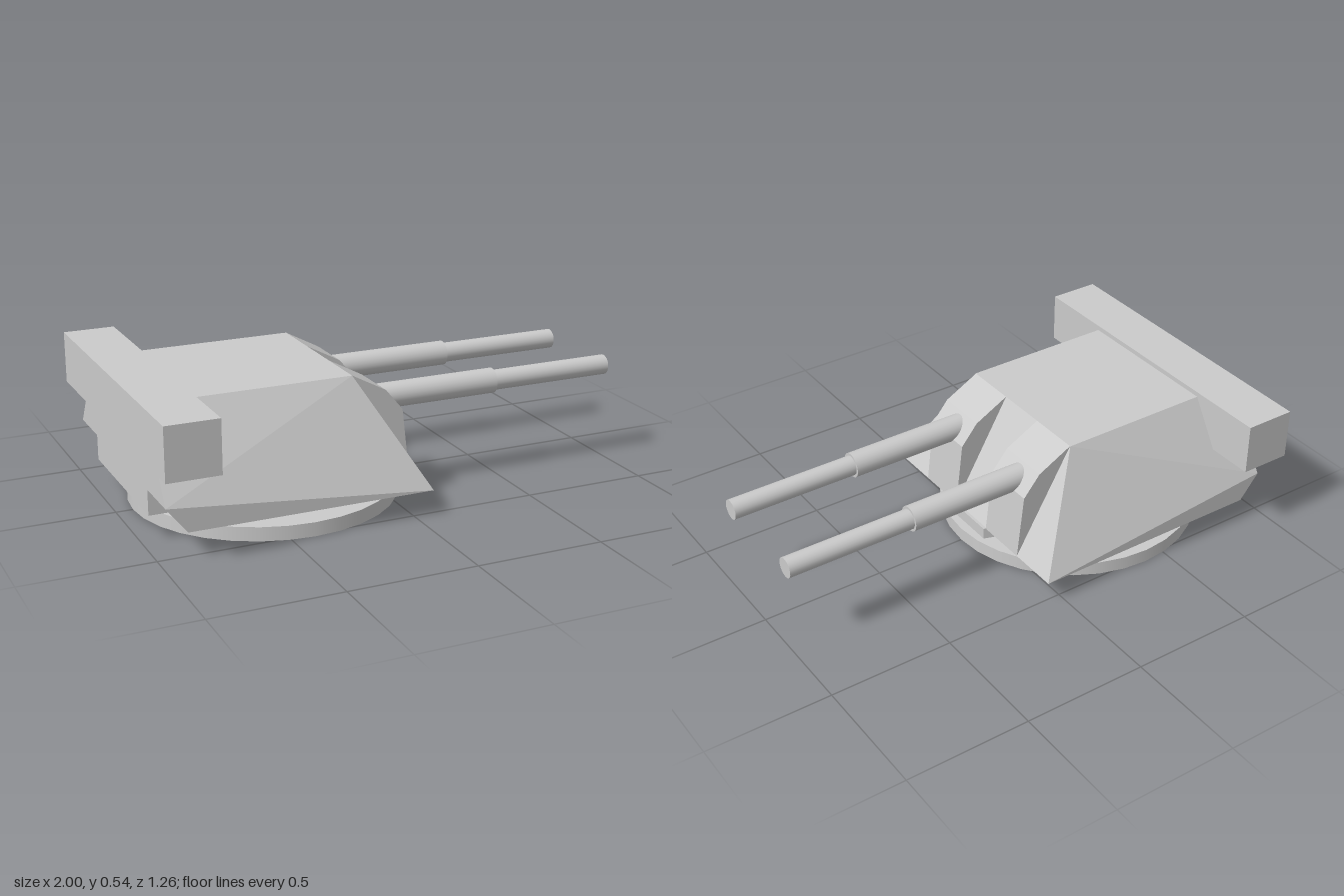
import * as THREE from 'three';
import { ConvexGeometry } from 'three/addons/geometries/ConvexGeometry.js';

export function createModel() {
  const model = new THREE.Group();
  const flat = new THREE.MeshStandardMaterial({ color: 0xcccccc, flatShading: true });
  const smooth = new THREE.MeshStandardMaterial({ color: 0xcccccc });

  const add = (name, geometry, material = flat) => {
    const mesh = new THREE.Mesh(geometry, material);
    mesh.name = name;
    model.add(mesh);
    return mesh;
  };
  const extrude = (points, depth) => new THREE.ExtrudeGeometry(
    new THREE.Shape(points.map(([x, y]) => new THREE.Vector2(x, y))),
    { depth, bevelEnabled: false });

  // Round turntable
  add('turntable', new THREE.CylinderGeometry(0.525, 0.525, 0.055, 32), smooth)
    .position.set(-0.408, 0.0275, 0);

  // Six-sided plinth between turntable and hull
  const plinth = extrude([
    [0.08, -0.105], [0.08, 0.105], [-0.39, 0.26],
    [-0.9, 0.105], [-0.9, -0.105], [-0.39, -0.26]], 0.05);
  plinth.rotateX(-Math.PI / 2);
  add('plinth', plinth).position.y = 0.053;

  // Central hull with sloping front
  add('hull', extrude([[-0.97, 0.1], [0.07, 0.1], [-0.17, 0.52], [-0.97, 0.52]], 0.64))
    .position.z = -0.32;

  // Long box across the rear
  add('rearBox', new THREE.BoxGeometry(0.205, 0.205, 1.26)).position.set(-0.8975, 0.4375, 0);

  for (const side of [1, -1]) {
    // Sloping side armour, chamfered at the lower rear
    const corners = [
      [-0.17, 0.52, 0.32], [-0.97, 0.52, 0.32],
      [0.07, 0.1, 0.525], [-0.89, 0.1, 0.525], [-0.97, 0.2, 0.525],
      [0.07, 0.1, 0.32], [-0.89, 0.1, 0.32], [-0.97, 0.2, 0.32]];
    add('sideArmour', new ConvexGeometry(
      corners.map(([x, y, z]) => new THREE.Vector3(x, y, z * side))));

    // Faceted gun housing bulging from the front slope
    add('gunHousing', extrude([[-0.17, 0.52], [0.07, 0.1], [0.04, 0.36], [-0.03, 0.445]], 0.213))
      .position.z = side > 0 ? 0.105 : -0.318;

    // Gun: thick sleeve and thinner barrel
    for (const [name, radius, start, end] of [
      ['gunSleeve', 0.05, -0.1, 0.483], ['gunBarrel', 0.04, 0.45, 1]]) {
      const tube = new THREE.CylinderGeometry(radius, radius, end - start, 24);
      tube.rotateZ(-Math.PI / 2);
      add(name, tube, smooth).position.set((start + end) / 2, 0.385, side * 0.21);
    }
  }
  return model;
}
